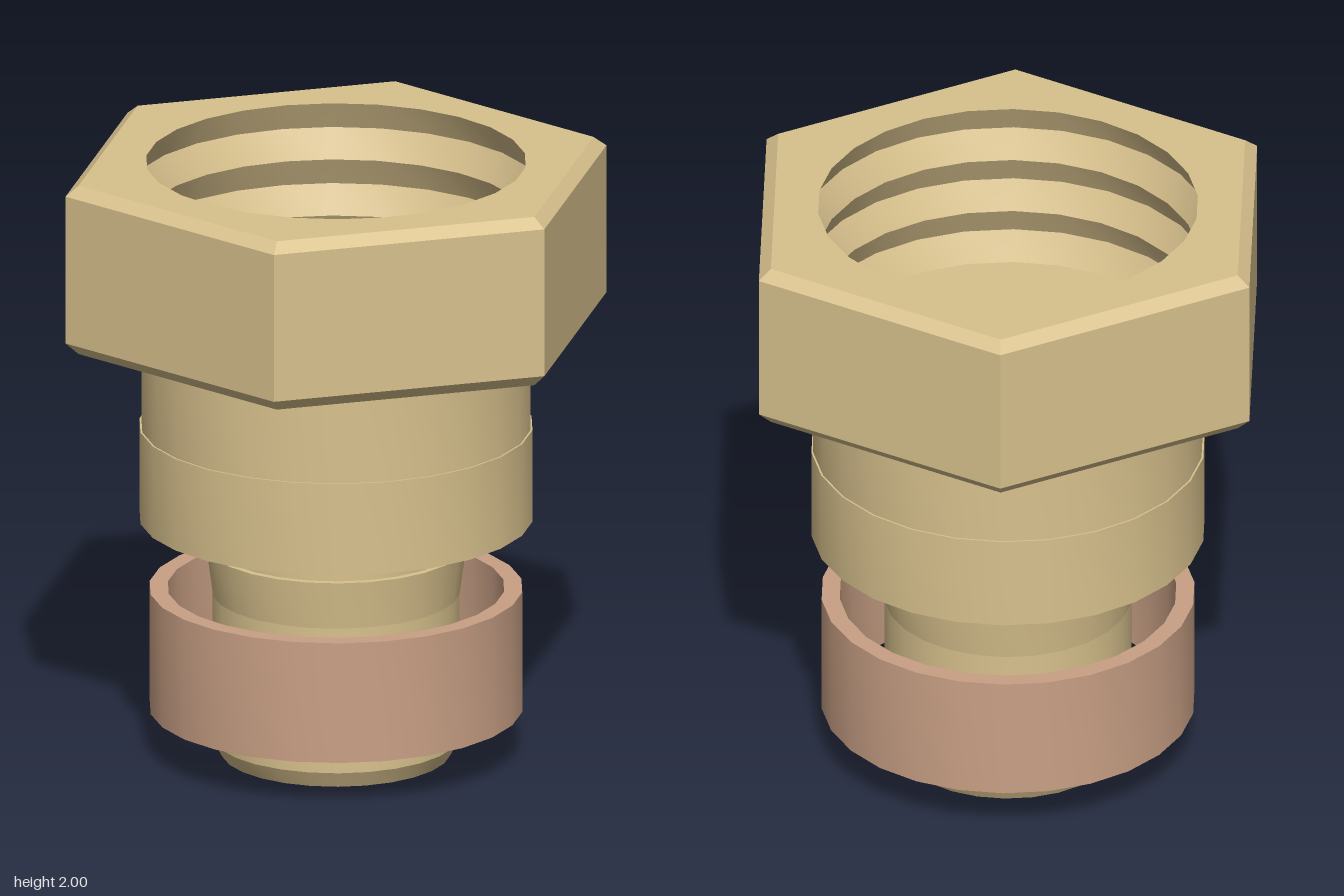
import * as THREE from 'three';
import { toCreasedNormals } from 'three/addons/utils/BufferGeometryUtils.js';

const brass = new THREE.MeshStandardMaterial({ color: 0xd8c18d });
brass.name = 'brass';
const copper = new THREE.MeshStandardMaterial({ color: 0xc9a085 });
copper.name = 'copper';

const SIDES = 26;

// Revolved part; profile runs up the outside and down the inside.
function turned(name, profile, material, sides = SIDES) {
  const points = profile.map(([r, y]) => new THREE.Vector2(r, y));
  const geometry = toCreasedNormals(new THREE.LatheGeometry(points, sides), 0.42);
  const mesh = new THREE.Mesh(geometry, material);
  mesh.name = name;
  return mesh;
}

// Flat hexagonal face with a round hole, facing up or down.
function hexFace(name, corner, hole, y, up) {
  const shape = new THREE.Shape();
  for (let i = 0; i < 6; i++) {
    const a = Math.PI / 2 + (i * Math.PI) / 3;
    shape[i ? 'lineTo' : 'moveTo'](corner * Math.cos(a), corner * Math.sin(a));
  }
  shape.closePath();
  const points = [];
  for (let i = 0; i < SIDES; i++) {
    const a = Math.PI / 2 - (i * 2 * Math.PI) / SIDES;
    points.push(new THREE.Vector2(hole * Math.cos(a), hole * Math.sin(a)));
  }
  shape.holes.push(new THREE.Path(points));
  const geometry = new THREE.ShapeGeometry(shape);
  geometry.rotateX(up ? -Math.PI / 2 : Math.PI / 2);
  geometry.translate(0, y, 0);
  const mesh = new THREE.Mesh(geometry, brass);
  mesh.name = name;
  return mesh;
}

export function createModel() {
  const model = new THREE.Group();
  model.name = 'pipeFitting';

  // Chamfered hexagonal head
  const head = new THREE.Group();
  head.name = 'hexHead';
  head.add(
    turned('hexSides', [[0.87, 1.43], [0.914, 1.47], [0.914, 1.967], [0.87, 2]], brass, 6),
    hexFace('hexTop', 0.87, 0.615, 2, true),
    hexFace('hexUnderside', 0.87, 0.6, 1.43, false)
  );

  // Internal V thread, three turns down to the seat
  const thread = [];
  for (let i = 0; i <= 6; i++) thread.push([i % 2 ? 0.662 : 0.615, 2 - i * 0.095]);
  head.add(turned('internalThread', thread, brass));
  model.add(head);

  // Shoulder, spigot, thread seat and through bore
  model.add(turned('body', [
    [0.337, 0], [0.37, 0], [0.4, 0.055], [0.4, 0.8],
    [0.637, 0.8], [0.637, 1.11], [0.631, 1.11], [0.631, 1.43],
    [0.337, 1.43], [0.337, 0]
  ], brass));

  // Tapered barb around the spigot
  model.add(turned('barb', [[0.398, 0.53], [0.422, 0.705], [0.39, 0.705]], brass));

  // Loose crimp ring
  model.add(turned('crimpRing', [
    [0.545, 0.155], [0.604, 0.155], [0.604, 0.56], [0.545, 0.56], [0.545, 0.155]
  ], copper));

  return model;
}
